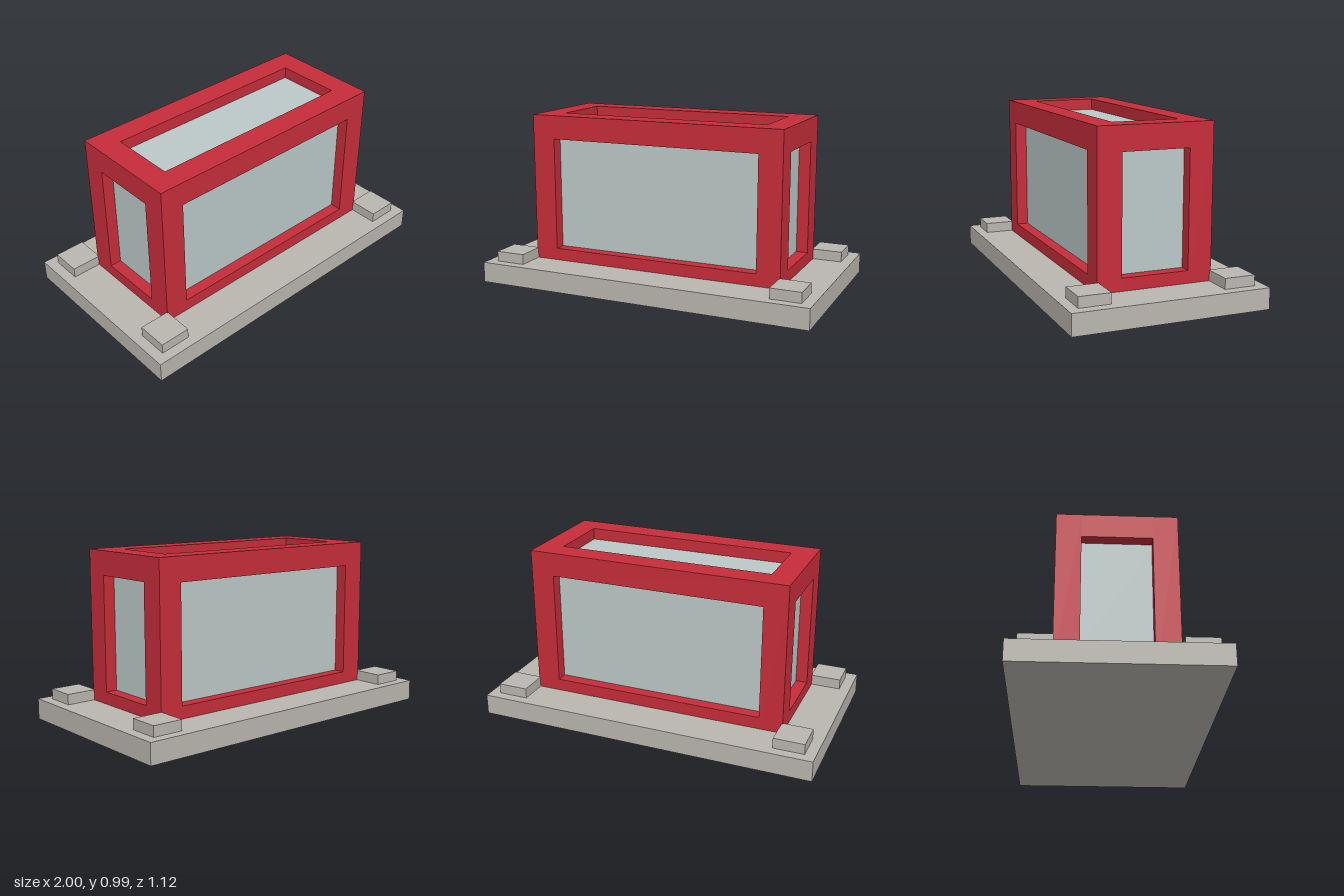
import * as THREE from 'three';

const BASE = { x: 1, y: 0.12, z: 0.558 };       // half width, height, half depth
const FRAME = { x: 0.767, z: 0.33, y0: 0.053, y1: 0.99 };
const BAR = 0.138;                               // square bar thickness
const RECESS = 0.068;                            // glass set back from the frame faces

export function createModel() {
  const model = new THREE.Group();
  model.name = 'glazedBoxOnPlinth';

  const material = (name, color) => {
    const m = new THREE.MeshStandardMaterial({ color });
    m.name = name;
    return m;
  };
  const stone = material('stone grey', 0xbab6af);
  const red = material('frame red', 0xc62d3a);
  const glass = material('pale glass', 0xbbc9c8);

  const box = (parent, name, mat, size, position) => {
    const mesh = new THREE.Mesh(new THREE.BoxGeometry(...size), mat);
    mesh.name = name;
    mesh.position.set(...position);
    parent.add(mesh);
  };

  // Plinth slab
  box(model, 'base', stone, [2 * BASE.x, BASE.y, 2 * BASE.z], [0, BASE.y / 2, 0]);

  // Frame of square bars, its lowest bars sunk into the slab
  const frame = new THREE.Group();
  frame.name = 'frame';
  model.add(frame);
  const height = FRAME.y1 - FRAME.y0;
  const midY = (FRAME.y0 + FRAME.y1) / 2;
  const bx = FRAME.x - BAR / 2;
  const by = height / 2 - BAR / 2;
  const bz = FRAME.z - BAR / 2;
  for (const a of [-1, 1]) {
    for (const b of [-1, 1]) {
      box(frame, 'cornerPost', red, [BAR, height, BAR], [a * bx, midY, b * bz]);
      box(frame, 'longRail', red, [2 * (FRAME.x - BAR), BAR, BAR], [0, midY + a * by, b * bz]);
      box(frame, 'shortRail', red, [BAR, BAR, 2 * (FRAME.z - BAR)], [a * bx, midY + b * by, 0]);

      // Low pad at each corner of the slab
      box(model, 'cornerPad', stone, [0.178, 0.06, 0.178], [a * 0.85, BASE.y + 0.03, b * 0.411]);
    }
  }

  // Glass block showing through every opening
  box(model, 'glassPanes', glass,
    [2 * (FRAME.x - RECESS), height - 2 * RECESS, 2 * (FRAME.z - RECESS)], [0, midY, 0]);

  return model;
}
